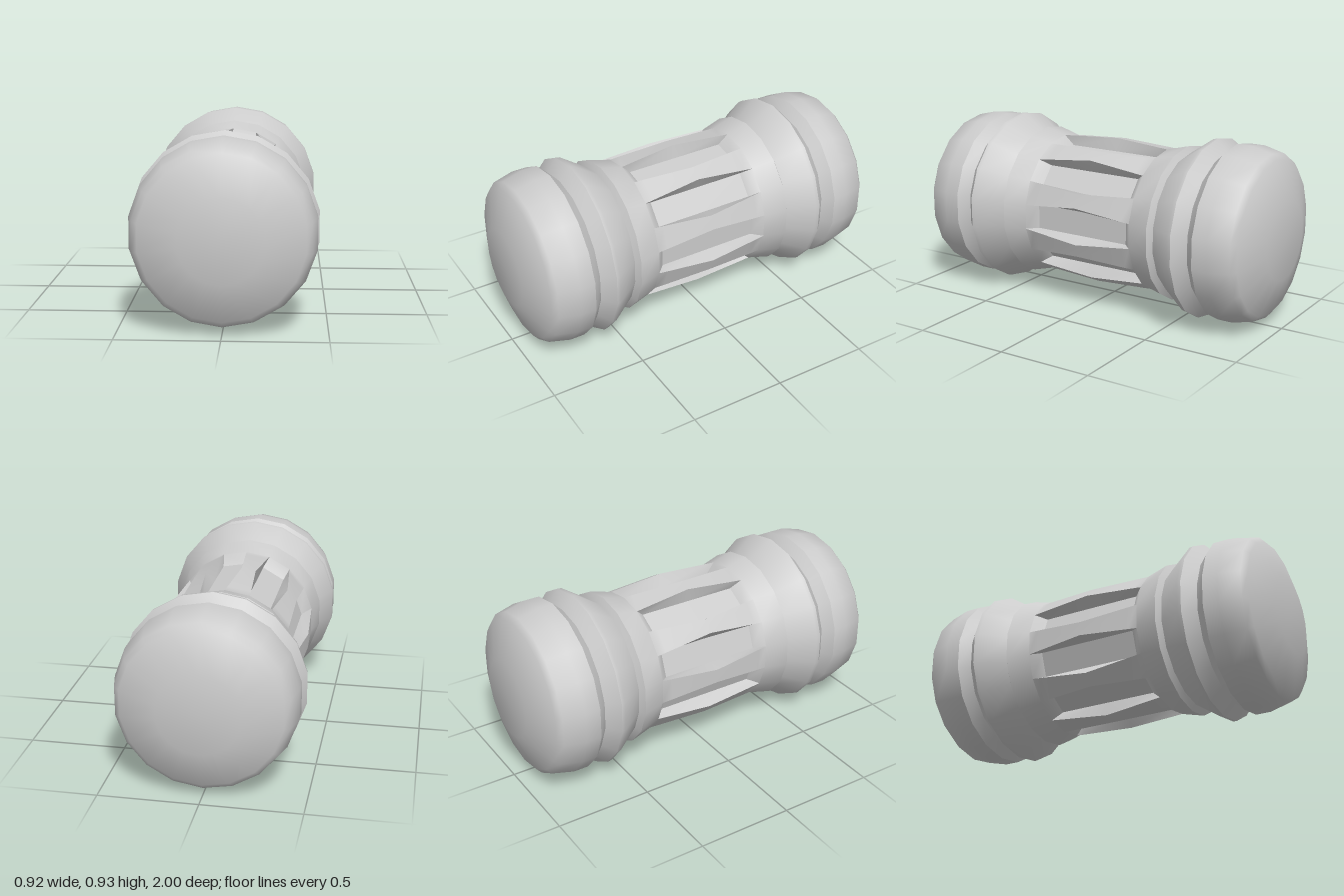
import * as THREE from 'three';
import { toCreasedNormals } from 'three/addons/utils/BufferGeometryUtils.js';

const CREASE = THREE.MathUtils.degToRad(39);
const RADIUS = 0.465;
const SLOTS = 9;

// Rounded end cap, groove, ridge and neck: [distance along axis, radius]
const END_PROFILE = [
  [0.44, 0.405], [0.46, 0.373], [0.59, 0.462], [0.61, 0.465], [0.67, 0.403],
  [0.72, 0.452], [0.8, 0.452], [0.91, 0.425], [0.935, 0.397], [1, 0.205], [1, 0],
];

// Grip cross-sections: axis position, outer radius, half slot opening (degrees), slot depth flag
const GRIP = [
  { z: -0.44, r: 0.405, open: 10, cut: false },
  { z: -0.32, r: 0.373, open: 10, cut: false },
  { z: -0.27, r: 0.376, open: 10.7, cut: true },
  { z: 0, r: 0.39, open: 14.5, cut: true },
  { z: 0.27, r: 0.376, open: 10.7, cut: true },
  { z: 0.32, r: 0.373, open: 10, cut: false },
  { z: 0.44, r: 0.405, open: 10, cut: false },
];
const FLOOR_RADIUS = 0.315;
const FLOOR_HALF = 0.065;

function endGeometry() {
  const points = END_PROFILE.map(([z, r]) => new THREE.Vector2(r, z));
  const geometry = new THREE.LatheGeometry(points, 18);
  geometry.rotateX(Math.PI / 2);
  return toCreasedNormals(geometry, CREASE);
}

// One ring: each slot gives opening edge, floor edge, floor edge, opening edge
function gripRing({ z, r, open, cut }) {
  const ring = [];
  const half = THREE.MathUtils.degToRad(open);
  const edge = [r * Math.sin(half), r * Math.cos(half)];
  const floor = cut ? [FLOOR_HALF, FLOOR_RADIUS] : edge;
  for (let k = 0; k < SLOTS; k++) {
    const a = THREE.MathUtils.degToRad(10 + 40 * k);
    for (const [side, [across, out]] of [[-1, edge], [-1, floor], [1, floor], [1, edge]]) {
      const s = side * across;
      ring.push(new THREE.Vector3(
        out * Math.sin(a) + s * Math.cos(a),
        out * Math.cos(a) - s * Math.sin(a),
        z));
    }
  }
  return ring;
}

function gripGeometry() {
  const rings = GRIP.map(gripRing);
  const n = rings[0].length;
  const positions = [];
  const triangle = (a, b, c) => {
    // Skip the collapsed faces where a slot closes
    if (new THREE.Triangle(a, b, c).getArea() < 1e-7) return;
    for (const p of [a, b, c]) positions.push(p.x, p.y, p.z);
  };
  for (let i = 0; i < rings.length - 1; i++) {
    for (let j = 0; j < n; j++) {
      const a = rings[i][j], b = rings[i + 1][j];
      const c = rings[i + 1][(j + 1) % n], d = rings[i][(j + 1) % n];
      triangle(a, b, c);
      triangle(a, c, d);
    }
  }
  const geometry = new THREE.BufferGeometry();
  geometry.setAttribute('position', new THREE.Float32BufferAttribute(positions, 3));
  return toCreasedNormals(geometry, CREASE);
}

export function createModel() {
  const model = new THREE.Group();
  model.name = 'flutedHandle';
  const material = new THREE.MeshStandardMaterial({ color: 0xcccccc });

  const add = (name, geometry) => {
    const mesh = new THREE.Mesh(geometry, material);
    mesh.name = name;
    mesh.position.y = RADIUS;
    model.add(mesh);
    return mesh;
  };

  // Slotted grip between two matching ends
  add('slottedGrip', gripGeometry());
  const end = endGeometry();
  add('frontEnd', end);
  add('backEnd', end).rotation.y = Math.PI;

  return model;
}
